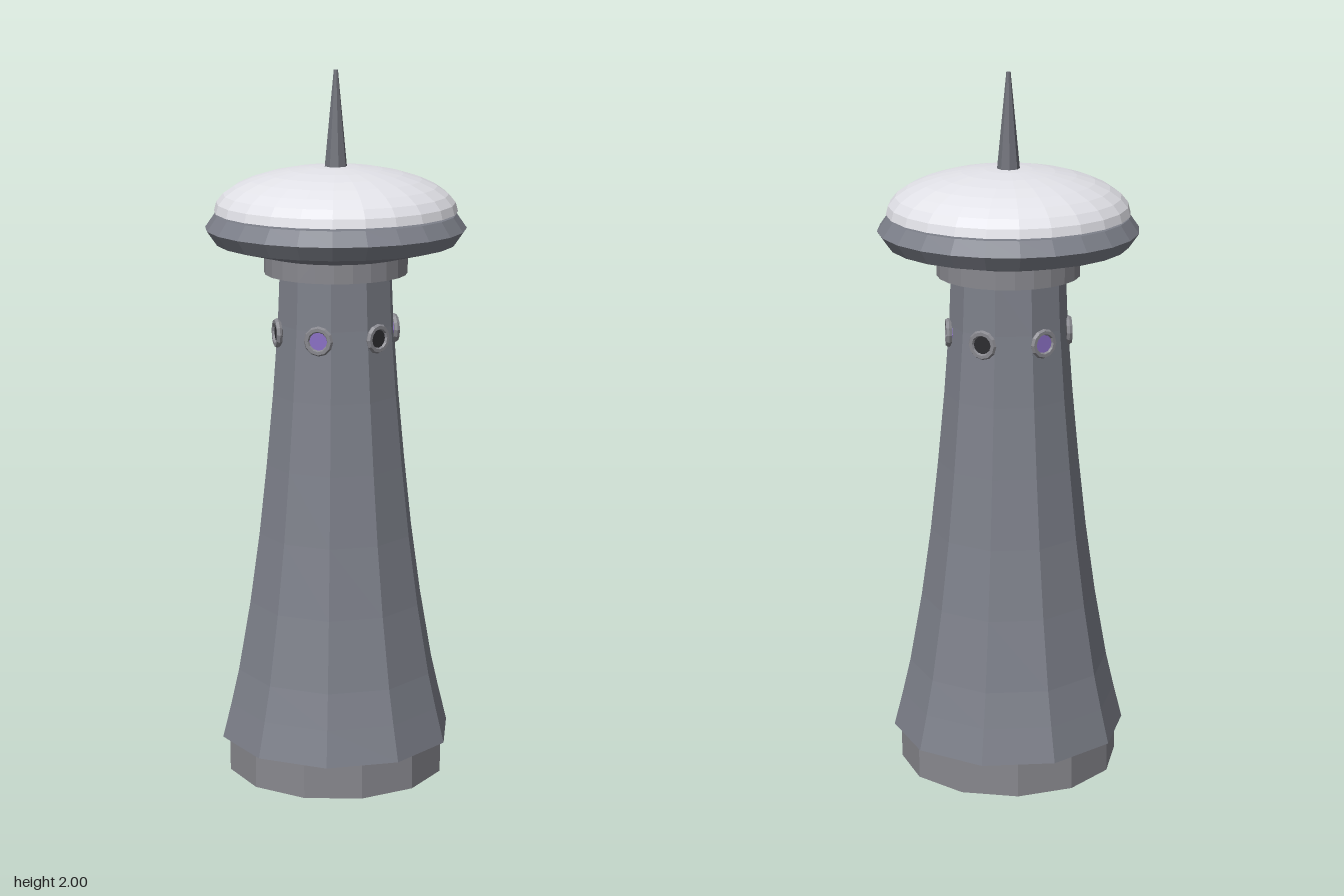
import * as THREE from 'three';

const paint = (color, extra = {}) =>
  new THREE.MeshStandardMaterial({ color, flatShading: true, ...extra });

export function createModel() {
  const model = new THREE.Group();
  const stone = paint(0x7d808a);
  const trim = paint(0x88888e);
  const metal = paint(0x70727a);
  const white = paint(0xe2e2e8);
  const purple = paint(0x8a70c4);
  const dark = paint(0x2c2c30);

  const add = (name, geometry, material, y = 0, parent = model) => {
    const mesh = new THREE.Mesh(geometry, material);
    mesh.name = name;
    mesh.position.y = y;
    parent.add(mesh);
    return mesh;
  };
  const lathe = (points, sides) =>
    new THREE.LatheGeometry(points.map(([r, y]) => new THREE.Vector2(r, y)), sides);

  // Twelve-sided foot
  add('base', new THREE.CylinderGeometry(0.312, 0.312, 0.1, 12), trim, 0.05);

  // Ten-sided flared shaft, corners on the x axis
  const shaft = [
    [0, 0.1], [0.333, 0.1], [0.308, 0.2], [0.285, 0.3], [0.25, 0.5], [0.222, 0.7],
    [0.2, 0.9], [0.181, 1.1], [0.166, 1.3], [0.16, 1.45], [0, 1.45],
  ];
  add('towerShaft', lathe(shaft, 10), stone).rotation.y = Math.PI / 2;

  // Collar under the saucer
  add('collar', new THREE.CylinderGeometry(0.2, 0.2, 0.06, 24), trim, 1.47);

  // Saucer hull and its shallow dome
  const hull = [
    [0, 1.48], [0.15, 1.48], [0.335, 1.526], [0.363, 1.566], [0.335, 1.606], [0, 1.606],
  ];
  add('saucerHull', lathe(hull, 24), stone);
  const dome = [];
  for (let i = 0; i <= 8; i++) {
    const a = (i / 8) * Math.PI / 2;
    dome.push([0.338 * Math.cos(a), 1.612 + 0.125 * Math.sin(a)]);
  }
  add('saucerDome', lathe([[0, 1.612], ...dome], 24), white);

  // Spire
  add('spire', new THREE.CylinderGeometry(0.006, 0.033, 0.28, 8), metal, 1.86);

  // Six portholes, alternately lit and dark
  const ringGeometry = new THREE.TorusGeometry(0.033, 0.009, 6, 12);
  const glassGeometry = new THREE.CylinderGeometry(0.031, 0.031, 0.03, 12).rotateX(Math.PI / 2);
  for (let i = 0; i < 6; i++) {
    const a = (i * Math.PI) / 3;
    const porthole = new THREE.Group();
    porthole.name = 'porthole';
    porthole.position.set(0.168 * Math.cos(a), 1.275, 0.168 * Math.sin(a));
    porthole.rotation.y = Math.PI / 2 - a;
    add('portholeRim', ringGeometry, trim, 0, porthole);
    add('portholeGlass', glassGeometry, i % 2 ? dark : purple, 0, porthole).position.z = -0.013;
    model.add(porthole);
  }

  return model;
}
